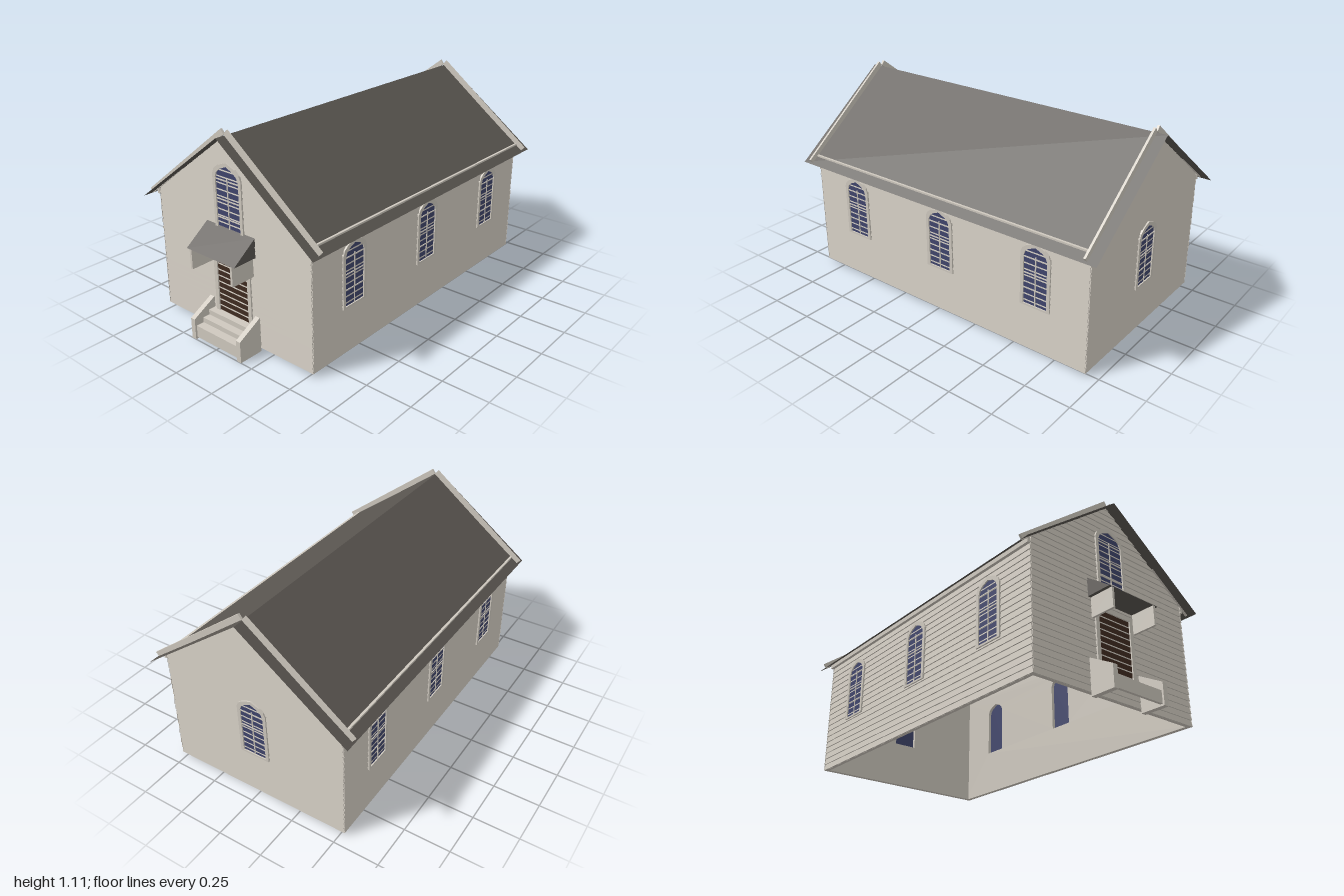
import * as THREE from 'three';

const mat = (name, color, side = THREE.FrontSide) => {
  const m = new THREE.MeshStandardMaterial({ color, side });
  m.name = name;
  return m;
};

export function createModel() {
  const paint = mat('pale paint', 0xcec8be);
  const boards = mat('pale boards', 0xcec8be, THREE.DoubleSide);
  const slate = mat('dark roof', 0x595550, THREE.DoubleSide);
  const blue = mat('blue glass', 0x40456c);
  const brown = mat('brown door', 0x3f2b20);

  const model = new THREE.Group();
  model.name = 'chapel';

  const BASE = 0.02, PITCH = 0.0338, LIP = 0.006;
  const RIDGE = 1.08, EAVE_X = 0.585, EAVE_Y = 0.645;
  const SLOPE = (RIDGE - EAVE_Y) / EAVE_X;
  const HALF = 0.525, FRONT = 0.865, BACK = -0.94;
  const MID = (FRONT + BACK) / 2, LEN = FRONT - BACK;

  const add = (parent, name, geo, material) => {
    const m = new THREE.Mesh(geo, material);
    m.name = name;
    parent.add(m);
    return m;
  };
  // Box given by its limits on each axis
  const box = (parent, name, material, x0, x1, y0, y1, z0, z1) => {
    const m = add(parent, name, new THREE.BoxGeometry(x1 - x0, y1 - y0, z1 - z0), material);
    m.position.set((x0 + x1) / 2, (y0 + y1) / 2, (z0 + z1) / 2);
    return m;
  };
  const poly = (pts, Kind = THREE.Shape) => new Kind(pts.map(p => new THREE.Vector2(...p)));
  const slab = (shape, z0, z1) =>
    new THREE.ExtrudeGeometry(shape, { depth: z1 - z0, bevelEnabled: false }).translate(0, 0, z0);
  const quads = list => {
    const pos = [];
    for (const [a, b, c, d] of list) pos.push(...a, ...b, ...c, ...a, ...c, ...d);
    const g = new THREE.BufferGeometry();
    g.setAttribute('position', new THREE.Float32BufferAttribute(pos, 3));
    g.computeVertexNormals();
    return g;
  };

  // Window and door outlines
  const arch = (cx, y, w, h) => [
    [cx - w, y], [cx + w, y], [cx + w, y + h * 0.82], [cx + w * 0.88, y + h * 0.89],
    [cx + w * 0.6, y + h * 0.945], [cx, y + h], [cx - w * 0.6, y + h * 0.945],
    [cx - w * 0.88, y + h * 0.89], [cx - w, y + h * 0.82]];
  const rect = (w, y0, y1) => [[-w, y0], [w, y0], [w, y1], [-w, y1]];

  // Overlapping weatherboards, each leaning out at its foot
  const siding = (halfAt, top) => {
    const list = [];
    for (let y = BASE; y < top - 0.001; y += PITCH) {
      const y1 = Math.min(y + PITCH, top), a = halfAt(y), b = halfAt(y1);
      list.push([[-a, y, LIP], [a, y, LIP], [b, y1, 0], [-b, y1, 0]]);
      list.push([[-a, y, 0], [a, y, 0], [a, y, LIP], [-a, y, LIP]]);
    }
    return quads(list);
  };

  const addWindow = (wall, cx, y, s) => {
    const g = new THREE.Group();
    g.name = 'window';
    wall.add(g);
    const w = 0.068 * s, h = 0.32 * s;
    const pane = arch(cx, y, w, h);
    add(g, 'glass', slab(poly(pane), -0.001, 0.0048), blue);
    const frame = poly(arch(cx, y - 0.01, w + 0.018, h + 0.03));
    frame.holes.push(poly(pane, THREE.Path));
    add(g, 'windowFrame', slab(frame, 0, 0.0115), paint);
    box(g, 'mullion', paint, cx - 0.003, cx + 0.003, y, y + h * 0.84, 0, 0.0085);
    for (const f of [0.27, 0.53, 0.8])
      box(g, 'glazingBar', paint, cx - w, cx + w, y + h * f - 0.003, y + h * f + 0.003, 0, 0.0085);
    return pane;
  };

  // A wall faces local +z; openings are cut in its inner lining
  const addWall = (name, outline, halfAt, top, windows, x, z, turn) => {
    const wall = new THREE.Group();
    wall.name = name;
    wall.position.set(x, 0, z);
    wall.rotation.y = turn;
    model.add(wall);
    add(wall, 'siding', siding(halfAt, top), boards);
    const lining = poly(outline);
    for (const win of windows) lining.holes.push(poly(addWindow(wall, ...win), THREE.Path));
    return { wall, lining };
  };
  const finish = ({ wall, lining }) => add(wall, 'innerWall', slab(lining, -0.019, -0.001), paint);

  // Gable walls
  const inner = HALF - LIP;
  const gable = [[-inner, BASE], [inner, BASE], [inner, RIDGE - SLOPE * inner - 0.005],
    [0, RIDGE - 0.005], [-inner, RIDGE - SLOPE * inner - 0.005]];
  const gableHalf = y => Math.max(0, Math.min(HALF, (RIDGE - y) / SLOPE));
  const front = addWall('frontWall', gable, gableHalf, RIDGE, [[0, 0.556, 1.16]], 0, FRONT - LIP, 0);
  finish(addWall('backWall', gable, gableHalf, RIDGE, [[0, 0.276, 1]], 0, BACK + LIP, Math.PI));

  // Door, with its surround
  const doorway = rect(0.105, 0.13, 0.46);
  front.lining.holes.push(poly(doorway, THREE.Path));
  finish(front);
  add(front.wall, 'door', slab(poly(doorway), -0.001, 0.0048), brown);
  const surround = poly(rect(0.128, 0.125, 0.483));
  surround.holes.push(poly(doorway, THREE.Path));
  add(front.wall, 'doorFrame', slab(surround, 0, 0.0115), paint);

  // Long side walls, eave trim, roof slopes and gable boards
  for (const s of [-1, 1]) {
    const wins = [-0.603, 0, 0.603].map(c => [c, 0.276, 1]);
    const hl = LEN / 2;
    finish(addWall(s > 0 ? 'leftWall' : 'rightWall', rect(hl - LIP, BASE, 0.68),
      () => hl, 0.69, wins, s * inner, MID, s * Math.PI / 2));

    const t = [s * 0.525, s * 0.541].sort((a, b) => a - b);
    box(model, 'eaveTrim', paint, t[0], t[1], 0.655, 0.687, BACK, FRONT);

    const slope = [[0, RIDGE, -1], [0, RIDGE, 0.92], [s * EAVE_X, EAVE_Y, 0.92], [s * EAVE_X, EAVE_Y, -1]];
    add(model, 'roofSlope', quads([s > 0 ? slope : slope.reverse()]), slate);

    const barge = [[0, 1.086], [s * 0.572, 0.65], [s * 0.59, 0.672], [s * 0.019, 1.11]];
    for (const z of [FRONT, BACK])
      add(model, 'gableBoard', slab(poly(barge), z - 0.006, z + 0.006), paint);
  }

  // Porch canopy: profile drawn in z and y, extruded across x
  const across = (pts, x0, x1) => {
    const g = slab(poly(pts.map(([z, y]) => [-z, y])), x0, x1);
    return g.rotateY(Math.PI / 2);
  };
  const porch = new THREE.Group();
  porch.name = 'porch';
  model.add(porch);
  add(porch, 'canopy', across([[0.862, 0.508], [1, 0.508], [0.862, 0.61]], -0.166, 0.166), slate);

  // Canopy brackets and step side walls
  for (const s of [-1, 1]) {
    const b = [s * 0.135, s * 0.148].sort((p, q) => p - q);
    box(porch, 'canopyBracket', paint, b[0], b[1], 0.402, 0.508, 0.862, 0.998);
    const c = [s * 0.15, s * 0.178].sort((p, q) => p - q);
    add(porch, 'stepSideWall',
      across([[0.862, 0], [1, 0], [1, 0.115], [0.862, 0.19]], c[0], c[1]), paint);
  }

  // Steps, open underneath
  box(porch, 'stepRiser', paint, -0.15, 0.15, 0.01, 0.06, 0.975, 0.99);
  [[0.075, 0.935, 0.99], [0.102, 0.898, 0.945], [0.13, 0.862, 0.905]].forEach(([y, z0, z1]) =>
    box(porch, 'stepTread', paint, -0.15, 0.15, y - 0.03, y, z0, z1));

  return model;
}
